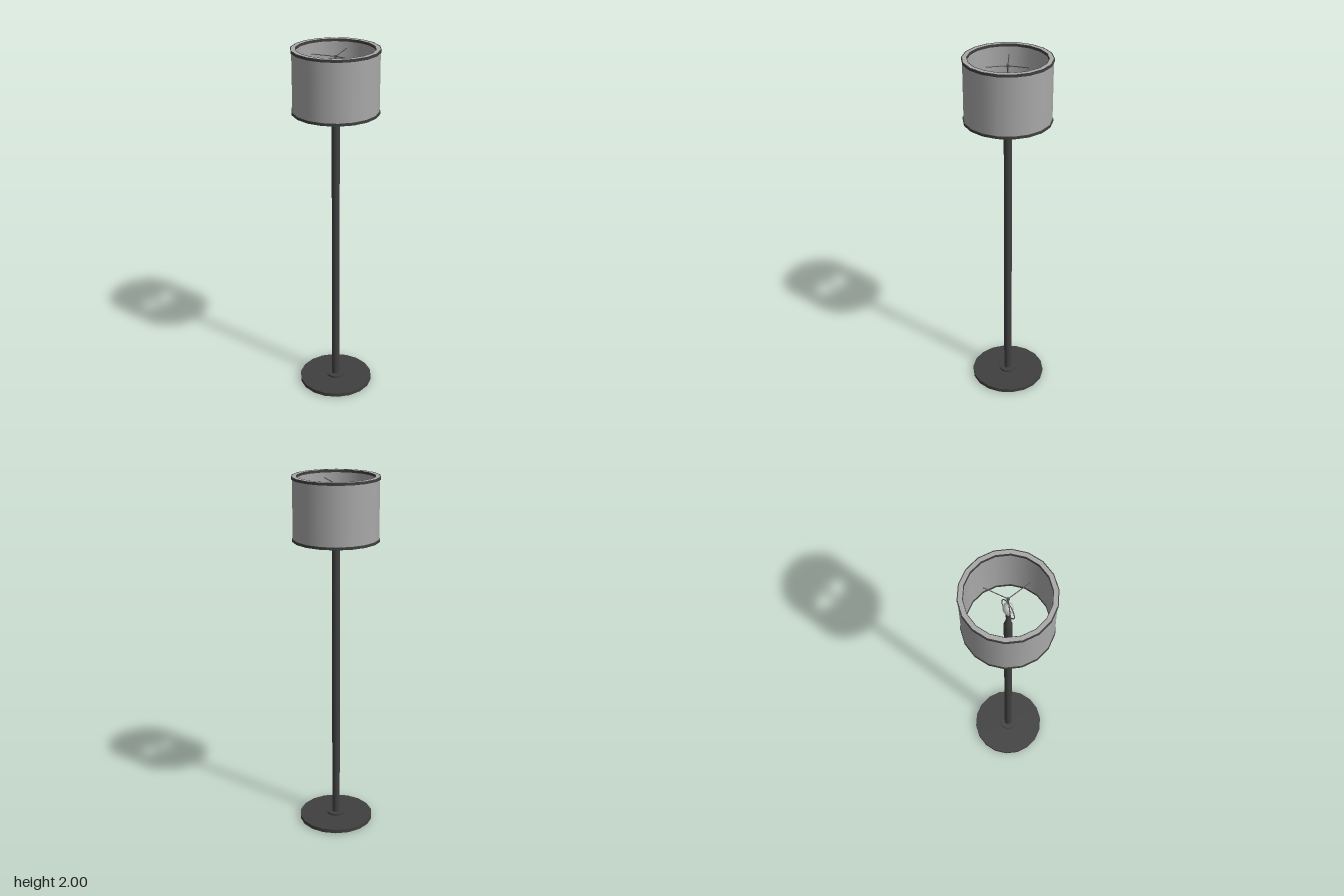
import * as THREE from 'three';

const SIDES = 18;

export function createModel() {
  const model = new THREE.Group();
  const mat = (name, color, side = THREE.FrontSide) => {
    const m = new THREE.MeshStandardMaterial({ color, side });
    m.name = name;
    return m;
  };
  const dark = mat('darkMetal', 0x404040, THREE.DoubleSide);
  const wire = mat('wireMetal', 0x505050);
  const fabric = mat('shadeFabric', 0xa9a9a9, THREE.DoubleSide);
  const glass = mat('bulbGlass', 0xc8c8c8);

  const add = (name, geometry, material, parent = model) => {
    const mesh = new THREE.Mesh(geometry, material);
    mesh.name = name;
    parent.add(mesh);
    return mesh;
  };
  // Upright cylinder or cone between two heights
  const column = (name, rBottom, rTop, y0, y1, material, sides = SIDES) => {
    const g = new THREE.CylinderGeometry(rTop, rBottom, y1 - y0, sides, 1, false, Math.PI / 2);
    return add(name, g.translate(0, (y0 + y1) / 2, 0), material);
  };
  // Hollow round wall with flat rims
  const hollow = (name, rIn, rOut, y0, y1, material) => {
    const group = new THREE.Group();
    group.name = name;
    for (const r of [rIn, rOut]) {
      const g = new THREE.CylinderGeometry(r, r, y1 - y0, SIDES, 1, true, Math.PI / 2);
      add(name + 'Wall', g.translate(0, (y0 + y1) / 2, 0), material, group);
    }
    for (const [y, turn] of [[y0, Math.PI / 2], [y1, -Math.PI / 2]]) {
      const g = new THREE.RingGeometry(rIn, rOut, SIDES).rotateX(turn);
      add(name + 'Rim', g.translate(0, y, 0), material, group);
    }
    model.add(group);
  };
  const rod = (name, points, radius) =>
    add(name, new THREE.TubeGeometry(new THREE.CatmullRomCurve3(points), (points.length - 1) * 6, radius, 8), wire);
  const v = (x, y, z) => new THREE.Vector3(x, y, z);

  // Base and pole
  column('baseDisc', 0.21, 0.21, 0.005, 0.026, dark);
  column('baseNut', 0.043, 0.043, 0, 0.006, dark);
  column('poleCollar', 0.05, 0.05, 0.026, 0.037, dark);
  column('pole', 0.022, 0.022, 0.03, 1.66, dark);

  // Socket and bulb
  column('socketCone', 0.021, 0.006, 1.66, 1.75, dark);
  column('socket', 0.012, 0.012, 1.75, 1.8, dark);
  const bulbProfile = [[0.012, 1.79], [0.015, 1.805], [0.024, 1.83], [0.027, 1.85],
    [0.024, 1.87], [0.014, 1.886], [0, 1.89]].map(([x, y]) => new THREE.Vector2(x, y));
  add('bulb', new THREE.LatheGeometry(bulbProfile, 24), glass);

  // Harp around the bulb, with the stem and spokes it carries
  rod('harp', [v(-0.01, 1.765, 0), v(-0.045, 1.81, 0), v(-0.047, 1.86, 0), v(-0.025, 1.9, 0), v(0, 1.908, 0),
    v(0.025, 1.9, 0), v(0.047, 1.86, 0), v(0.045, 1.81, 0), v(0.01, 1.765, 0)], 0.0025);
  column('harpStem', 0.004, 0.004, 1.905, 1.962, wire, 10);
  column('harpKnob', 0.008, 0.006, 1.95, 1.964, wire, 10);
  for (let i = 0; i < 3; i++) {
    const a = Math.PI / 2 + (i * Math.PI * 2) / 3;
    rod('shadeSpoke', [v(0, 1.958, 0), v(0.125 * Math.cos(a), 1.972, 0.125 * Math.sin(a))], 0.0025);
  }

  // Shade with dark trim along its edges
  hollow('shade', 0.2095, 0.231, 1.661, 1.999, fabric);
  for (const y of [1.66, 1.986]) {
    hollow('outerTrim', 0.2305, 0.235, y, y + 0.014, dark);
    hollow('innerTrim', 0.207, 0.21, y, y + 0.014, dark);
  }
  return model;
}
